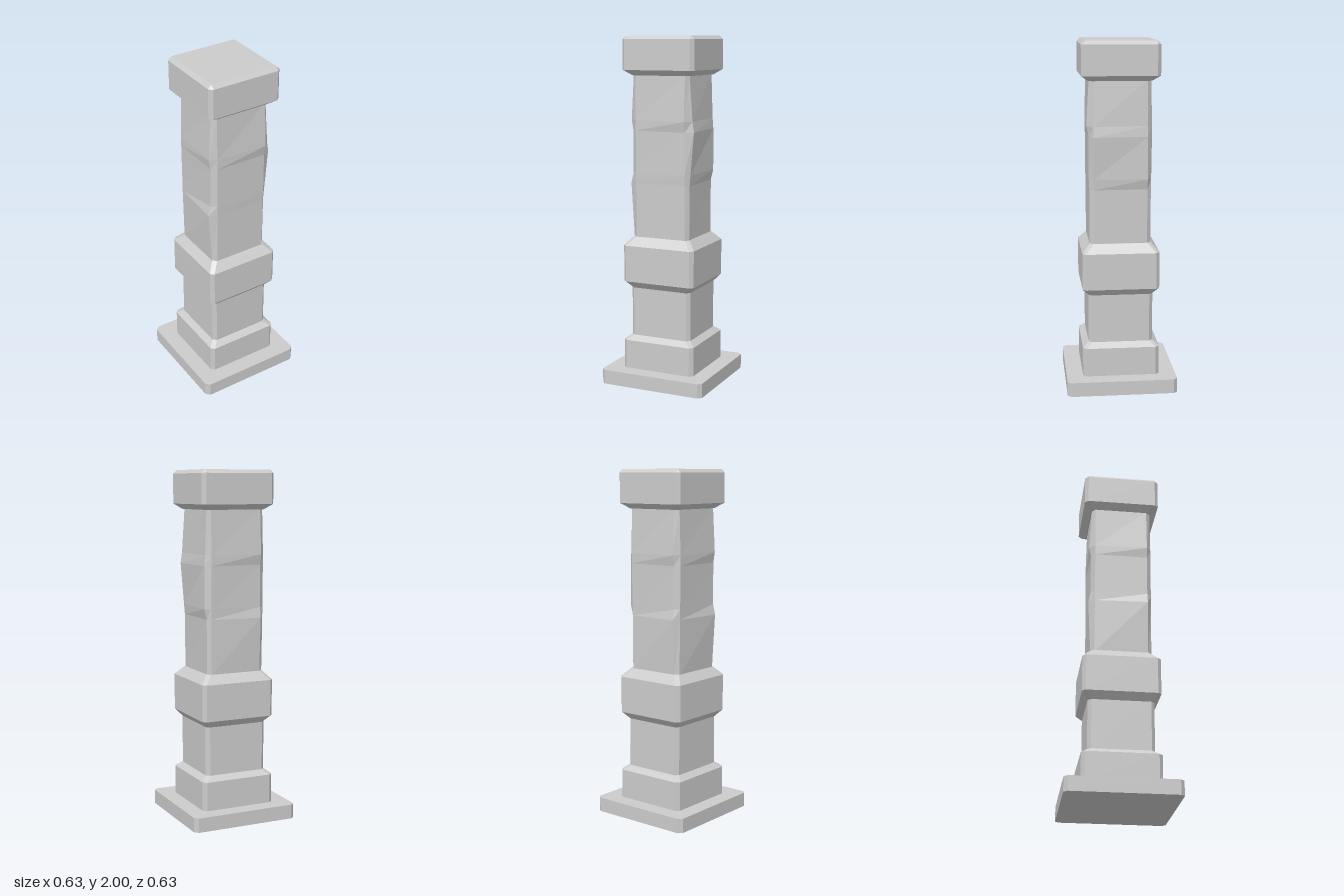
import * as THREE from 'three';

const material = new THREE.MeshStandardMaterial({ color: 0xcccccc, flatShading: true });

// Ring of eight points: each of the four sides has a start and an end point.
// sides[k] = [start offset, end offset], reach = half length of each side
function ring(y, reach, sides) {
  const points = [];
  for (let k = 0; k < 4; k++) {
    const c = Math.round(Math.cos(k * Math.PI / 2));
    const s = Math.round(Math.sin(k * Math.PI / 2));
    sides[k].forEach((out, i) => {
      const along = i ? reach : -reach;
      points.push([s * out + c * along, y, c * out - s * along]);
    });
  }
  return points;
}

// Square ring with cut corners
function square(y, half, cut) {
  return ring(y, half - cut, Array(4).fill([half, half]));
}

// Skin stacked rings and close both ends
function loft(name, rings) {
  const positions = [];
  const tri = (a, b, c) => positions.push(...a, ...b, ...c);
  for (let r = 0; r < rings.length - 1; r++) {
    const low = rings[r], high = rings[r + 1];
    for (let i = 0; i < 8; i++) {
      const j = (i + 1) % 8;
      tri(low[i], low[j], high[j]);
      tri(low[i], high[j], high[i]);
    }
  }
  const bottom = rings[0], top = rings[rings.length - 1];
  for (let i = 1; i < 7; i++) {
    tri(bottom[0], bottom[i + 1], bottom[i]);
    tri(top[0], top[i], top[i + 1]);
  }
  const geometry = new THREE.BufferGeometry();
  geometry.setAttribute('position', new THREE.Float32BufferAttribute(positions, 3));
  geometry.computeVertexNormals();
  const mesh = new THREE.Mesh(geometry, material);
  mesh.name = name;
  return mesh;
}

export function createModel() {
  const group = new THREE.Group();
  group.name = 'stonePillar';

  // Flat plinth and the bevelled block on it
  group.add(loft('plinth', [square(0, 0.316, 0.022), square(0.083, 0.316, 0.022)]));
  group.add(loft('baseBlock', [
    square(0.08, 0.22, 0.02), square(0.25, 0.22, 0.02), square(0.278, 0.185, 0.02),
  ]));

  // Short lower shaft and the middle band
  group.add(loft('lowerShaft', [square(0.27, 0.185, 0.02), square(0.57, 0.185, 0.02)]));
  group.add(loft('middleBand', [
    square(0.56, 0.185, 0.02), square(0.6, 0.22, 0.02),
    square(0.81, 0.22, 0.02), square(0.86, 0.175, 0.02),
  ]));

  // Chipped upper shaft: offsets of front, left, back and right sides per level
  const chips = [
    [0.85, [[0.175, 0.175], [0.17, 0.17], [0.172, 0.172], [0.175, 0.175]]],
    [1.17, [[0.176, 0.175], [0.172, 0.17], [0.174, 0.187], [0.18, 0.195]]],
    [1.23, [[0.177, 0.178], [0.177, 0.185], [0.175, 0.175], [0.18, 0.18]]],
    [1.47, [[0.178, 0.178], [0.197, 0.184], [0.178, 0.175], [0.182, 0.18]]],
    [1.53, [[0.178, 0.19], [0.188, 0.179], [0.178, 0.187], [0.182, 0.19]]],
    [1.79, [[0.175, 0.175], [0.17, 0.17], [0.172, 0.172], [0.175, 0.175]]],
  ];
  group.add(loft('upperShaft', chips.map(([y, sides]) => ring(y, 0.152, sides))));

  // Bevelled cap
  group.add(loft('cap', [
    square(1.78, 0.18, 0.02), square(1.81, 0.22, 0.02),
    square(1.98, 0.22, 0.02), square(2, 0.2, 0.001),
  ]));
  return group;
}
